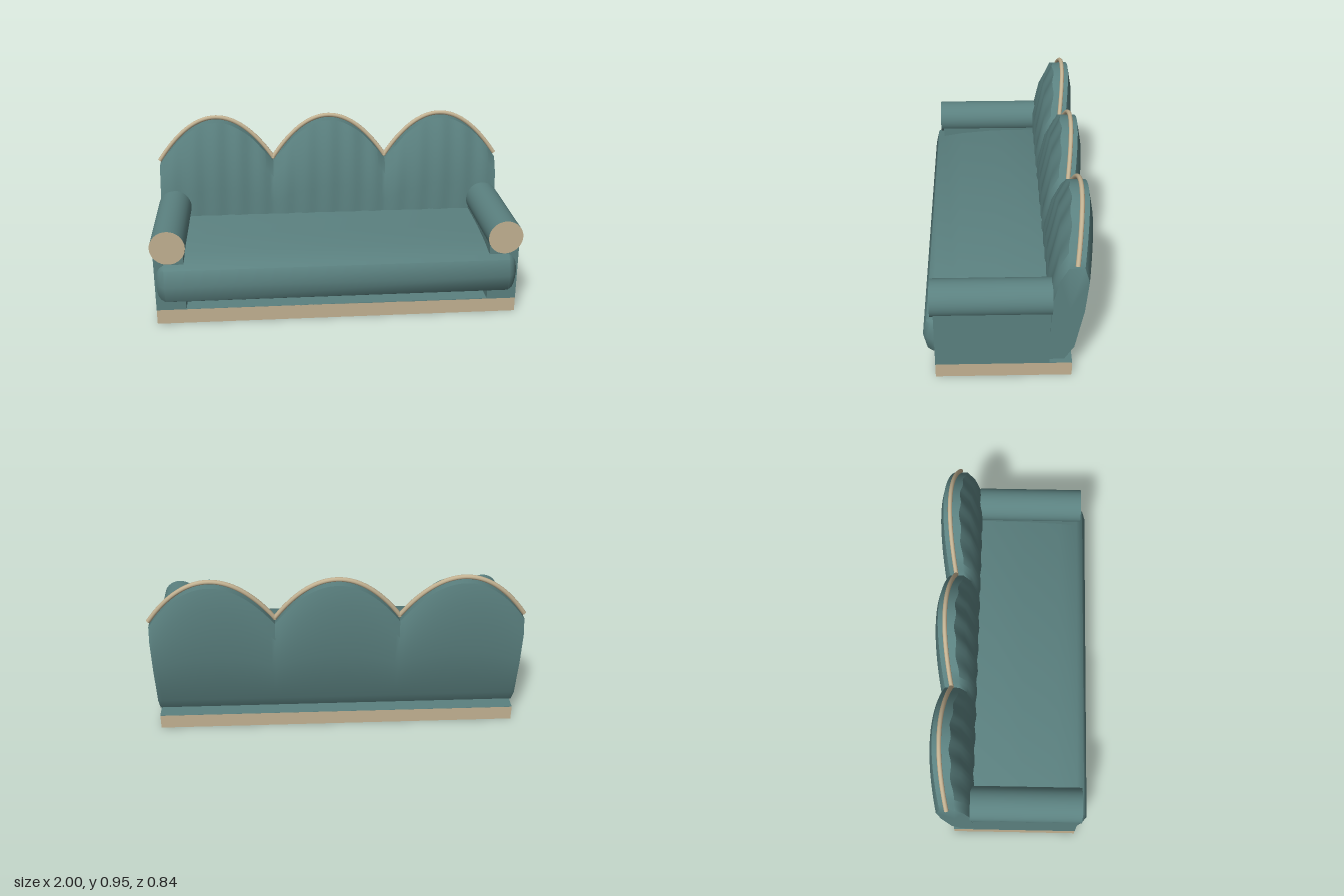
import * as THREE from 'three';
import { toCreasedNormals } from 'three/addons/utils/BufferGeometryUtils.js';

// Skin a list of closed cross-sections running along +x, with both ends capped.
function loft(sections, crease) {
  const n = sections[0].length, pos = [], idx = [];
  sections.forEach(s => s.forEach(p => pos.push(...p)));
  for (let i = 0; i < sections.length - 1; i++) {
    for (let j = 0; j < n; j++) {
      const k = (j + 1) % n;
      const a = i * n + j, b = i * n + k, c = b + n, d = a + n;
      idx.push(a, d, c, a, c, b);
    }
  }
  [0, sections.length - 1].forEach((s, end) => {
    const mid = [0, 1, 2].map(c => sections[s].reduce((t, p) => t + p[c], 0) / n);
    const m = pos.length / 3;
    pos.push(...mid);
    for (let j = 0; j < n; j++) {
      const a = s * n + j, b = s * n + (j + 1) % n;
      if (end) idx.push(m, b, a); else idx.push(m, a, b);
    }
  });
  const g = new THREE.BufferGeometry();
  g.setAttribute('position', new THREE.Float32BufferAttribute(pos, 3));
  g.setIndex(idx);
  return toCreasedNormals(g, crease);
}

export function createModel() {
  const sofa = new THREE.Group();
  sofa.name = 'sofa';
  const fabric = new THREE.MeshStandardMaterial({ color: 0x5b8180 });
  fabric.name = 'teal fabric';
  const trim = new THREE.MeshStandardMaterial({ color: 0xc3b292 });
  trim.name = 'tan trim';

  const add = (name, geometry, material, x = 0, y = 0, z = 0) => {
    const mesh = new THREE.Mesh(geometry, material);
    mesh.name = name;
    mesh.position.set(x, y, z);
    sofa.add(mesh);
    return mesh;
  };
  const box = (name, mat, x0, x1, y0, y1, z0, z1) =>
    add(name, new THREE.BoxGeometry(x1 - x0, y1 - y0, z1 - z0), mat,
      (x0 + x1) / 2, (y0 + y1) / 2, (z0 + z1) / 2);

  // Thin skirt, open underneath, closed by a fabric deck
  const W = 0.985, F = 0.363, B = -0.327, H = 0.083, T = 0.004;
  box('skirtFront', trim, -W, W, 0, H - 0.001, F - T, F);
  box('skirtBack', trim, -W, W, 0, H - 0.001, B, B + T);
  box('skirtLeft', trim, W - T, W, 0, H - 0.001, B + T, F - T);
  box('skirtRight', trim, -W, -W + T, 0, H - 0.001, B + T, F - T);
  box('deck', fabric, -W, W, H - T, H, B, F);

  // Arms: side panel with a roll on top, tan disc on the front of the roll
  for (const [side, s] of [['left', 1], ['right', -1]]) {
    const panel = box(side + 'ArmPanel', fabric, 0.825, W, H, 0.43, -0.212, F);
    panel.position.x *= s;
    const roll = new THREE.CylinderGeometry(0.094, 0.094, 0.6, 32).rotateX(Math.PI / 2);
    add(side + 'ArmRoll', roll, [fabric, trim, fabric], s * 0.905, 0.454, 0.08);
  }

  // Seat cushion with a rounded nose and tapered ends
  const seatProfile = [[-0.25, 0.097], [0.30, 0.097], [0.363, 0.13], [0.40, 0.15], [0.42, 0.24],
    [0.40, 0.33], [0.363, 0.35], [0.25, 0.37], [0.05, 0.388], [-0.25, 0.392]];
  const seatStations = [[-0.975, 0.89, 0.72], [-0.955, 0.95, 0.93], [-0.93, 1, 1],
    [0.93, 1, 1], [0.955, 0.95, 0.93], [0.975, 0.89, 0.72]];
  add('seat', loft(seatStations.map(([x, kz, ky]) => seatProfile.map(
    ([z, y]) => [x, 0.24 + (y - 0.24) * ky, z * kz])), 0.9), fabric);

  // Back: three lobes, blending a low section at each dip with a tall one at each crest
  const dip = [[-0.21, 0.11], [-0.21, 0.46], [-0.245, 0.61], [-0.285, 0.685], [-0.365, 0.685],
    [-0.39, 0.60], [-0.375, 0.42], [-0.333, 0.19], [-0.285, 0.11]];
  const crest = [[-0.21, 0.11], [-0.21, 0.55], [-0.26, 0.81], [-0.31, 0.925], [-0.40, 0.925],
    [-0.42, 0.81], [-0.387, 0.50], [-0.333, 0.19], [-0.285, 0.11]];
  const lobe = W * 2 / 3, steps = 30, sections = [];
  for (let i = 0; i <= steps * 3; i++) {
    const x = -W + i * lobe / steps;
    const u = (i % steps) / steps * 2 - 1;
    const t = 1 - u * u;
    const ripple = 0.005 * Math.cos(x * Math.PI * 10 / lobe); // soft pleats on the front
    sections.push(dip.map(([z, y], j) => [x,
      y + (crest[j][1] - y) * t,
      z + (crest[j][0] - z) * t + (j > 0 && j < 4 ? ripple : 0)]));
  }
  add('back', loft(sections, 0.9), fabric);

  // Piping along the crown of each lobe
  for (let k = -1; k <= 1; k++) {
    const points = [];
    for (let i = 0; i <= 16; i++) {
      const u = i / 8 - 1, t = 1 - u * u;
      points.push(new THREE.Vector3(k * lobe + u * 0.332, 0.699 + 0.244 * t, -0.329 - 0.034 * t));
    }
    const curve = new THREE.CatmullRomCurve3(points);
    add('piping' + (k + 2), new THREE.TubeGeometry(curve, 40, 0.012, 10), trim);
    for (const [p, turn] of [[points[0], -1], [points[16], 1]]) {
      const cap = add('pipingEnd', new THREE.CircleGeometry(0.012, 10), trim, p.x, p.y, p.z);
      const dir = curve.getTangent(turn < 0 ? 0 : 1).multiplyScalar(turn);
      cap.quaternion.setFromUnitVectors(new THREE.Vector3(0, 0, 1), dir);
    }
  }
  return sofa;
}
